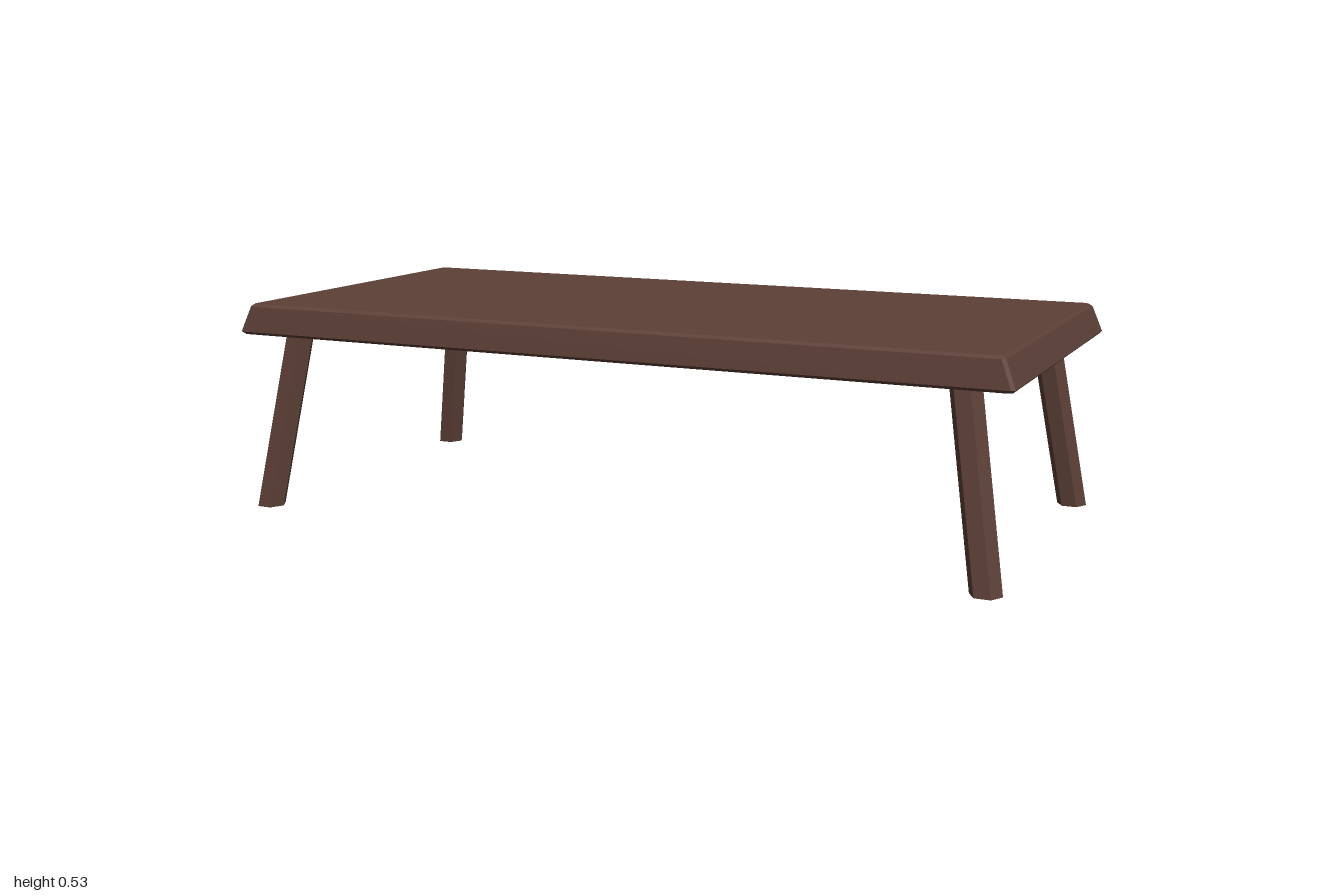
import * as THREE from 'three';

// Solid with flat faces from stacked horizontal rings (rings listed bottom to top)
function loft(rings) {
  const pos = [], n = rings[0].length;
  const tri = (a, b, c) => pos.push(...a, ...b, ...c);
  for (let k = 0; k < rings.length - 1; k++) {
    const lo = rings[k], hi = rings[k + 1];
    for (let i = 0; i < n; i++) {
      const j = (i + 1) % n;
      tri(lo[i], hi[i], hi[j]);
      tri(lo[i], hi[j], lo[j]);
    }
  }
  const bottom = rings[0], top = rings[rings.length - 1];
  for (let i = 1; i < n - 1; i++) {
    tri(bottom[0], bottom[i], bottom[i + 1]);
    tri(top[0], top[i + 1], top[i]);
  }
  const geo = new THREE.BufferGeometry();
  geo.setAttribute('position', new THREE.Float32BufferAttribute(pos, 3));
  geo.computeVertexNormals();
  return geo;
}

// Rectangle ring with clipped corners
function slabRing(y, hx, hz, c = 0.008) {
  return [
    [hx, y, hz - c], [hx - c, y, hz], [c - hx, y, hz], [-hx, y, hz - c],
    [-hx, y, c - hz], [c - hx, y, -hz], [hx - c, y, -hz], [hx, y, c - hz],
  ];
}

// Hexagon ring with corners pointing along x
function hexRing(y, cx, cz, r = 0.0375) {
  return Array.from({ length: 6 }, (_, i) => {
    const a = (i * Math.PI) / 3;
    return [cx + r * Math.cos(a), y, cz + r * Math.sin(a)];
  });
}

export function createModel() {
  const group = new THREE.Group();
  group.name = 'lowTable';
  const wood = new THREE.MeshStandardMaterial({ color: 0x5d4037 });
  wood.name = 'darkBrownWood';

  const add = (name, geo) => {
    const mesh = new THREE.Mesh(geo, wood);
    mesh.name = name;
    group.add(mesh);
  };

  // Tapered top with small chamfers on every edge
  add('tableTop', loft([
    slabRing(0.449, 0.993, 0.461),
    slabRing(0.456, 1.0, 0.468),
    slabRing(0.52, 0.975, 0.458),
    slabRing(0.527, 0.966, 0.451),
  ]));

  // Four splayed hexagonal legs
  for (const sx of [1, -1]) {
    for (const sz of [1, -1]) {
      const name = (sz > 0 ? 'front' : 'back') + (sx > 0 ? 'Left' : 'Right') + 'Leg';
      add(name, loft([
        hexRing(0, sx * 0.947, sz * 0.438),
        hexRing(0.455, sx * 0.872, sz * 0.383),
      ]));
    }
  }
  return group;
}
